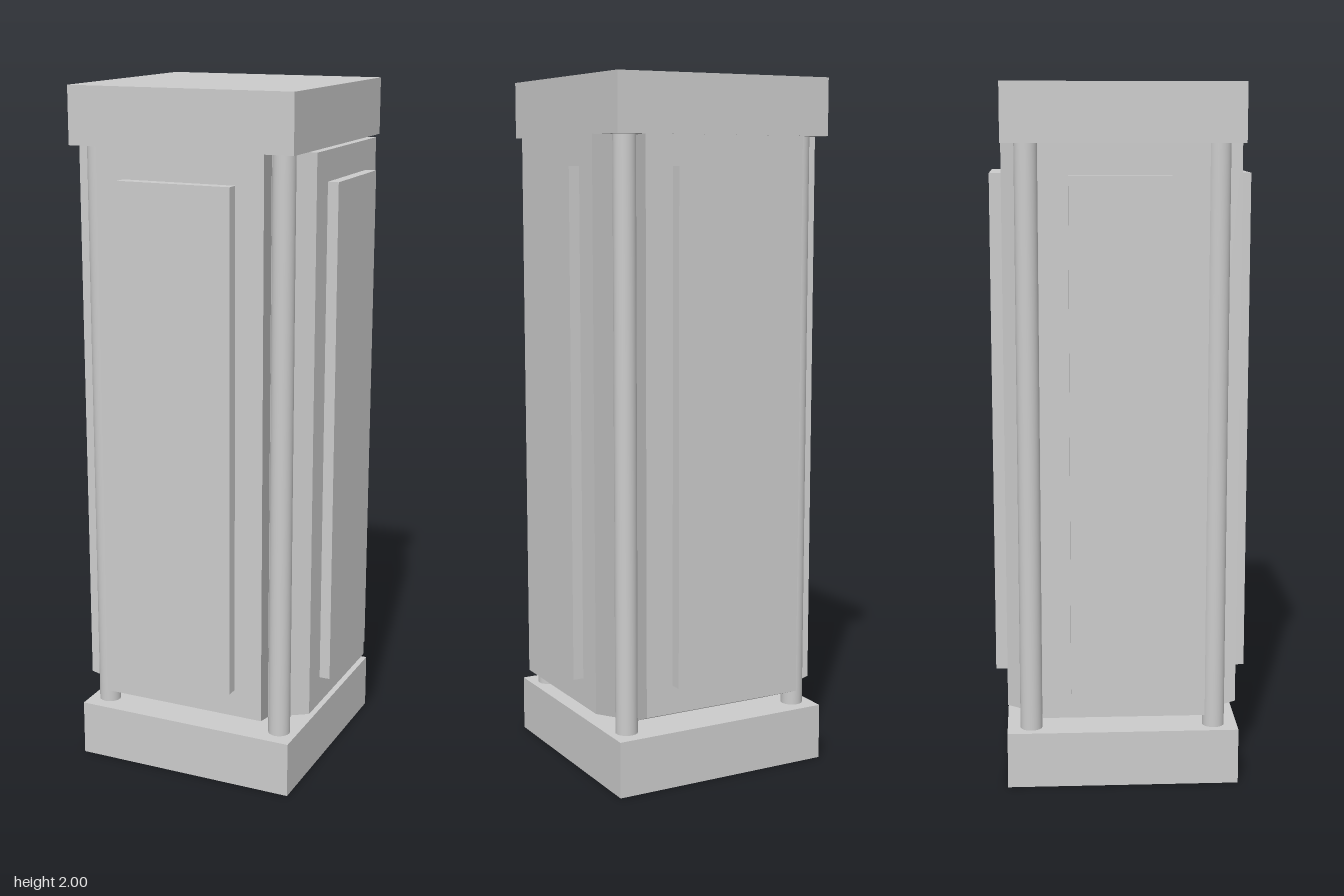
import * as THREE from 'three';

const material = new THREE.MeshStandardMaterial({ color: 0xcccccc });
const BOTTOM = 0.163, TOP = 1.837; // shaft ends, between plinth and cap
const CORE_X = 0.213, CORE_Z = 0.194;

function add(parent, name, geometry, x, y, z) {
  const mesh = new THREE.Mesh(geometry, material);
  mesh.name = name;
  mesh.position.set(x, y, z);
  parent.add(mesh);
  return mesh;
}

// Block facing +z that widens outwards and has a sloped underside at its foot
function flaredBlock(innerHalf, outerHalf, innerZ, outerZ) {
  const g = new THREE.BoxGeometry(2, 2, 2).toNonIndexed();
  const p = g.attributes.position;
  for (let i = 0; i < p.count; i++) {
    const outer = p.getZ(i) > 0;
    const foot = outer ? 0.22 : BOTTOM;
    p.setXYZ(
      i,
      p.getX(i) * (outer ? outerHalf : innerHalf),
      p.getY(i) > 0 ? TOP : foot,
      outer ? outerZ : innerZ
    );
  }
  g.computeVertexNormals();
  return g;
}

// One face of the pillar: flared block plus raised panel
function pillarFace(name, angle, innerHalf, outerHalf, innerZ, outerZ, panelHalf, panelZ) {
  const face = new THREE.Group();
  face.name = name;
  add(face, 'shaftFace', flaredBlock(innerHalf, outerHalf, innerZ, outerZ), 0, 0, 0);
  const depth = panelZ - outerZ + 0.02;
  add(face, 'raisedPanel', new THREE.BoxGeometry(panelHalf * 2, 1.45, depth), 0, 1.027, panelZ - depth / 2);
  face.rotation.y = angle;
  return face;
}

export function createModel() {
  const model = new THREE.Group();
  model.name = 'pillar';

  // Square plinth and cap
  const slab = new THREE.BoxGeometry(0.668, BOTTOM, 0.668);
  add(model, 'plinth', slab, 0, BOTTOM / 2, 0);
  add(model, 'cap', slab, 0, 2 - BOTTOM / 2, 0);

  // Shaft core
  const height = TOP - BOTTOM;
  add(model, 'shaftCore', new THREE.BoxGeometry(CORE_X * 2, height, CORE_Z * 2), 0, 1, 0);

  // Four panelled faces
  ['frontFace', 'leftFace', 'backFace', 'rightFace'].forEach((name, i) => {
    const size = i % 2
      ? [CORE_Z, 0.232, CORE_X, 0.359, 0.151, 0.39]
      : [CORE_X, 0.25, CORE_Z, 0.333, 0.167, 0.368];
    model.add(pillarFace(name, i * Math.PI / 2, ...size));
  });

  // Slim columns in the corner notches
  const column = new THREE.CylinderGeometry(0.032, 0.032, height, 32);
  for (const sx of [-1, 1])
    for (const sz of [-1, 1])
      add(model, 'cornerColumn', column, sx * 0.279, 1, sz * 0.265);

  return model;
}
